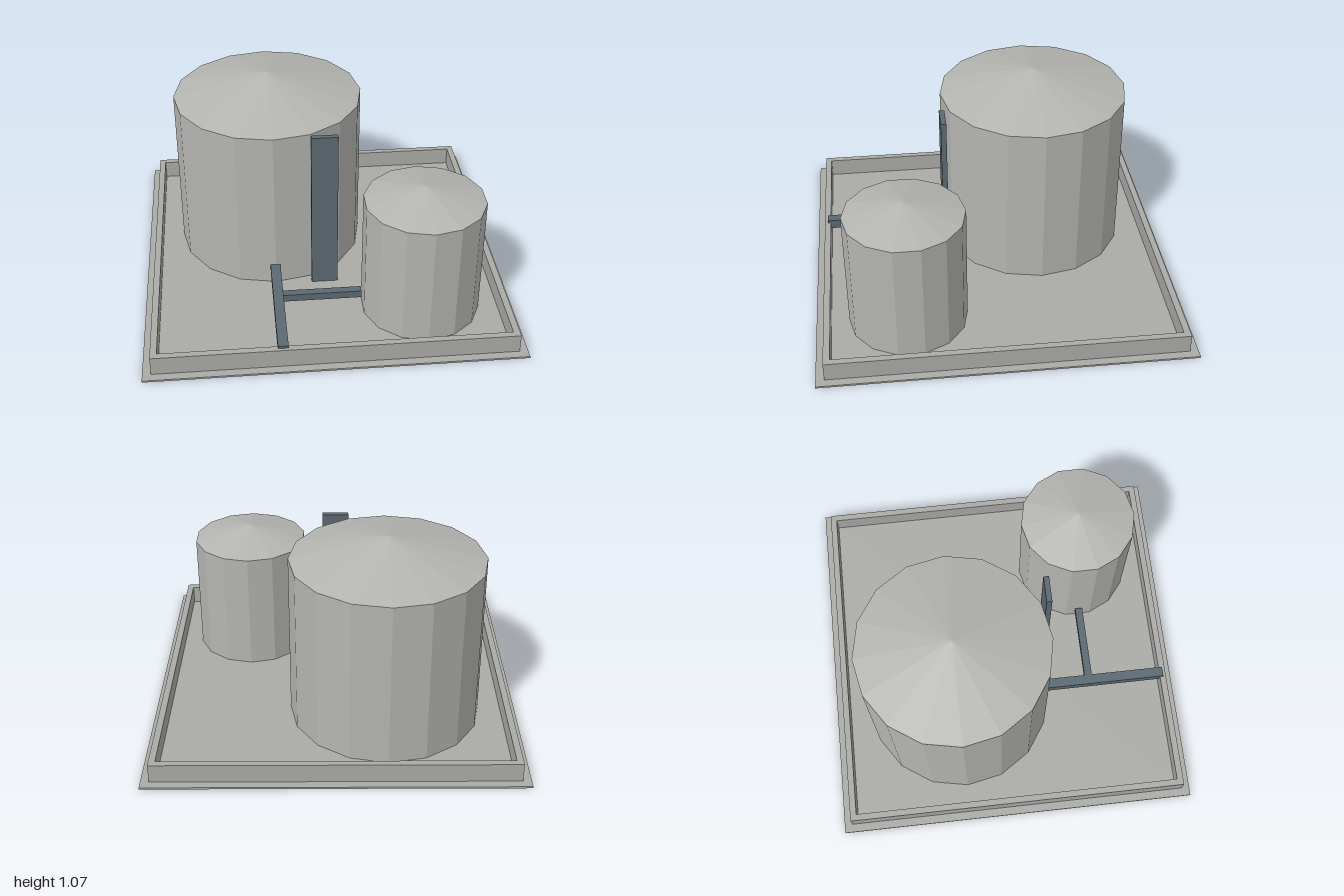
import * as THREE from 'three';

const material = (name, color) => {
  const m = new THREE.MeshStandardMaterial({ color });
  m.name = name;
  return m;
};

export function createModel() {
  const concrete = material('concrete grey', 0xaaaaa7);
  const tankPaint = material('tank grey', 0xb4b4b1);
  const steel = material('blue grey steel', 0x5c6972);
  const model = new THREE.Group();
  model.name = 'storageTanks';

  const add = (name, geometry, mat, parent = model) => {
    const mesh = new THREE.Mesh(geometry, mat);
    mesh.name = name;
    parent.add(mesh);
    return mesh;
  };

  // Box given by its limits on each axis
  const box = (name, mat, [x0, x1], [y0, y1], [z0, z1]) =>
    add(name, new THREE.BoxGeometry(x1 - x0, y1 - y0, z1 - z0), mat)
      .position.set((x0 + x1) / 2, (y0 + y1) / 2, (z0 + z1) / 2);

  // Faceted tank with a shallow conical roof
  const floor = 0.01;
  const tank = (name, x, z, radius, sides, rim, apex) => {
    const group = new THREE.Group();
    group.name = name;
    group.position.set(x, 0, z);
    const shell = new THREE.CylinderGeometry(radius, radius, rim - floor, sides).toNonIndexed();
    const roof = new THREE.ConeGeometry(radius, apex - rim, sides, 1, true).toNonIndexed();
    for (const g of [shell, roof]) g.computeVertexNormals();
    add('shell', shell, tankPaint, group).position.y = (rim + floor) / 2;
    add('roof', roof, tankPaint, group).position.y = (rim + apex) / 2;
    model.add(group);
  };

  // Ground slab
  box('slab', concrete, [-1, 1], [0, floor], [-1, 1]);

  // Containment wall around the slab
  const outer = 0.955, inner = 0.92;
  const square = (Type, r) => new Type([[-r, -r], [r, -r], [r, r], [-r, r]]
    .map(([x, y]) => new THREE.Vector2(x, y)));
  const wall = square(THREE.Shape, outer);
  wall.holes.push(square(THREE.Path, inner));
  const wallGeometry = new THREE.ExtrudeGeometry(wall, { depth: 0.105, bevelEnabled: false });
  wallGeometry.rotateX(-Math.PI / 2);
  add('containmentWall', wallGeometry, concrete).position.y = floor;

  tank('largeTank', -0.275, -0.275, 0.525, 16, 0.94, 1.07);
  tank('smallTank', 0.5, 0.5, 0.323, 14, 0.69, 0.77);

  // Access ladder panel and square pipes
  box('ladder', steel, [-0.075, 0.07], [floor, 0.95], [0.24, 0.27]);
  box('mainPipe', steel, [-0.305, -0.25], [0.075, 0.13], [0.25, 0.938]);
  box('branchPipe', steel, [-0.25, 0.175], [0.08, 0.122], [0.477, 0.52]);

  return model;
}
